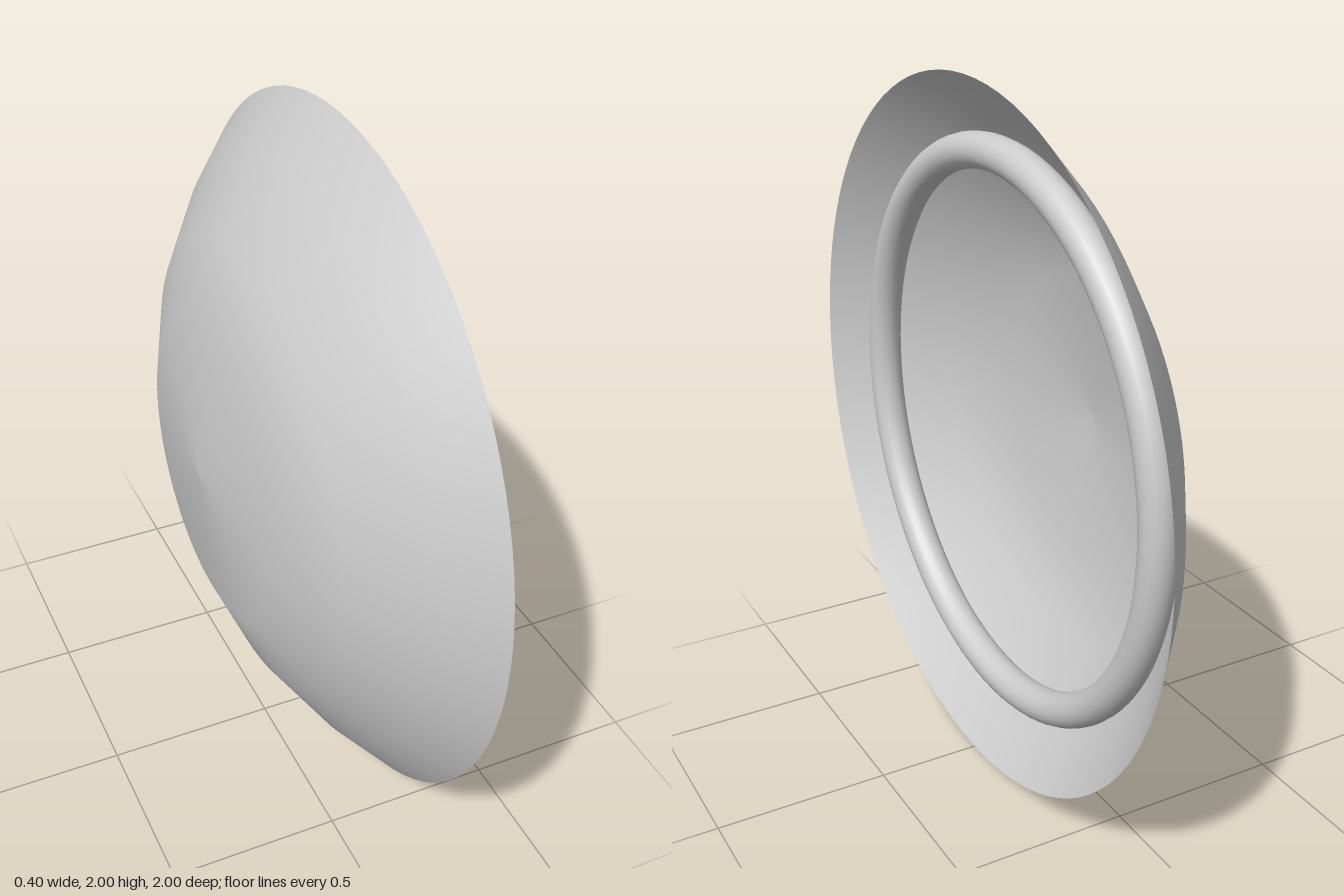
import * as THREE from 'three';

export function createModel() {
  const group = new THREE.Group();
  const grey = new THREE.MeshStandardMaterial({ color: 0xcccccc, side: THREE.DoubleSide });
  grey.name = 'grey';

  // Shallow dish: profile of (radius, depth) turned about the x axis, open towards +x
  const profile = [[0, -0.2], [0.42, -0.167], [0.65, -0.07], [0.855, 0.07], [1, 0.2]]
    .map(([r, d]) => new THREE.Vector2(r, d));
  const dish = new THREE.Mesh(new THREE.LatheGeometry(profile, 96).rotateZ(-Math.PI / 2), grey);
  dish.name = 'dish';
  dish.position.y = 1;

  // Round ring seated inside the dish
  const ring = new THREE.Mesh(new THREE.TorusGeometry(0.785, 0.05, 20, 96).rotateY(Math.PI / 2), grey);
  ring.name = 'innerRing';
  ring.position.set(0.1, 1, 0);

  group.add(dish, ring);
  return group;
}
